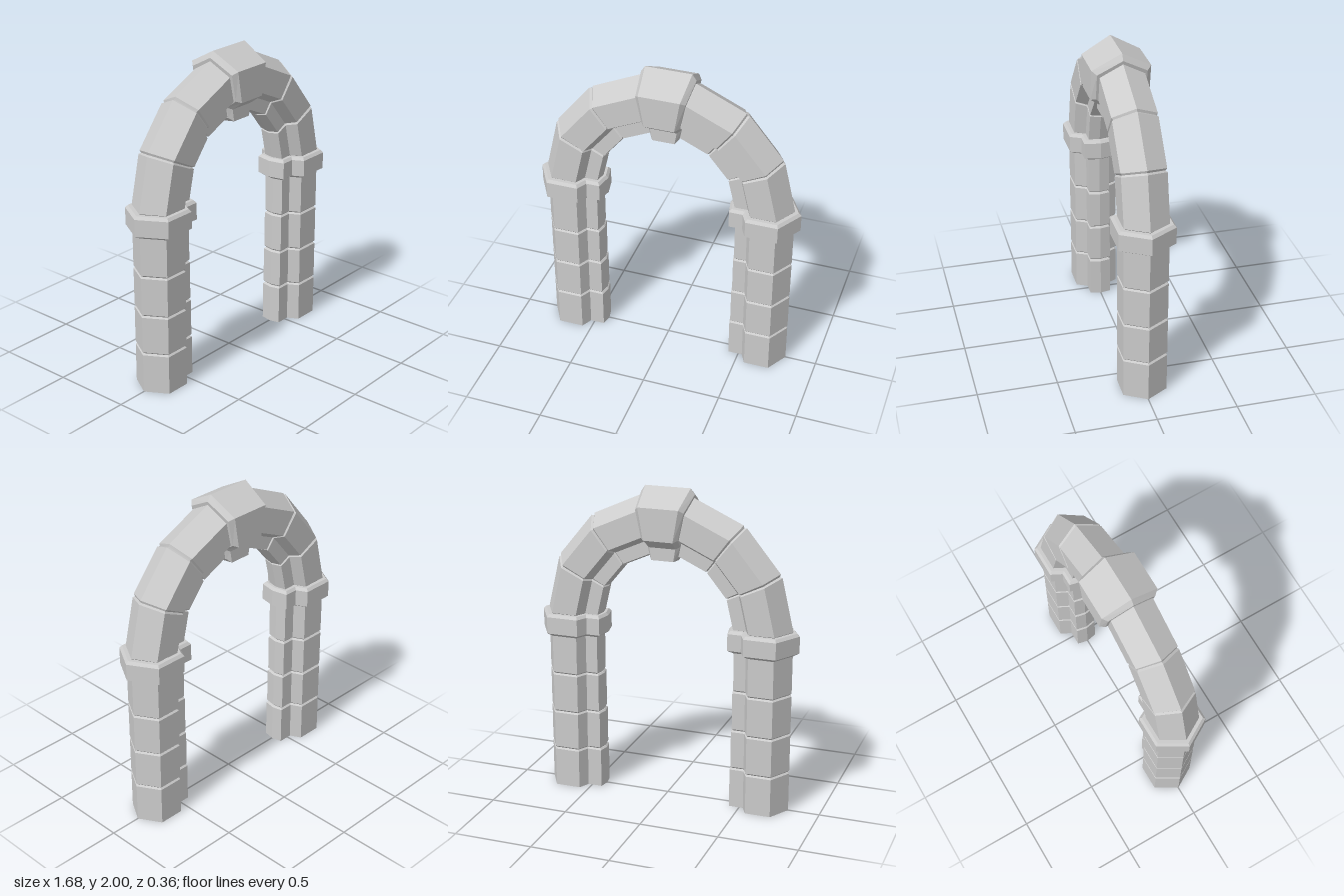
import * as THREE from 'three';

const material = new THREE.MeshStandardMaterial({ color: 0xcccccc, flatShading: true });
const CENTRE_Y = 1.16; // springing height of the arch

// Symmetric stone section: [distance from the arch axis, half depth]
function section(outer, shoulder, stepOuter, stepInner, lip, inner, depth, innerDepth) {
  const half = [[shoulder, depth], [stepOuter, depth], [stepInner, innerDepth], [lip, innerDepth]];
  const back = half.map(([r, z]) => [r, -z]).reverse();
  return [[outer, 0], ...half, [inner, 0], ...back].map(([r, z]) => new THREE.Vector2(r, z));
}

// Grow (d > 0) or shrink (d < 0) a section with mitred corners
function offset(points, d) {
  const n = points.length;
  const normal = (a, b) => new THREE.Vector2(b.y - a.y, a.x - b.x).normalize();
  return points.map((p, i) => {
    const n1 = normal(points[(i + n - 1) % n], p);
    const n2 = normal(p, points[(i + 1) % n]);
    const k = d / (1 + n1.dot(n2));
    return p.clone().addScaledVector(n1.add(n2), k);
  });
}

// Loft a section through stations [position, offset]; place() maps it into space
function stone(name, points, stations, place) {
  const rings = stations.map(([t, d]) => offset(points, d).map((p) => place(p.x, p.y, t)));
  const pos = [];
  const tri = (...corners) => corners.forEach((c) => pos.push(...c));
  const n = points.length;
  for (let s = 0; s < rings.length - 1; s++) {
    for (let i = 0; i < n; i++) {
      const j = (i + 1) % n;
      const a = rings[s][i], b = rings[s][j], c = rings[s + 1][j], d = rings[s + 1][i];
      tri(a, c, b);
      tri(a, d, c);
    }
  }
  const first = rings[0], last = rings[rings.length - 1];
  for (const [a, b, c] of THREE.ShapeUtils.triangulateShape(points, [])) {
    tri(first[a], first[b], first[c]);
    tri(last[a], last[c], last[b]);
  }
  const geometry = new THREE.BufferGeometry();
  geometry.setAttribute('position', new THREE.Float32BufferAttribute(pos, 3));
  geometry.computeVertexNormals();
  const mesh = new THREE.Mesh(geometry, material);
  mesh.name = name;
  return mesh;
}

const upright = (r, z, y) => [r, y, z];
const radial = (r, z, a) => [r * Math.cos(a), CENTRE_Y + r * Math.sin(a), z];
const stoneSection = (inner) => section(0.8, 0.72, 0.56, 0.525, inner + 0.014, inner, 0.137, 0.068);

function createPillar(name) {
  const pillar = new THREE.Group();
  pillar.name = name;
  // Four chamfered blocks, slightly narrower towards the top
  const levels = [0, 0.26, 0.513, 0.77, 1.03];
  for (let i = 0; i < 4; i++) {
    const y0 = levels[i], y1 = levels[i + 1], c = 0.01;
    const stations = [[y0 + c, 0], [y1 - c, 0], [y1, -c]];
    stations.unshift(i === 0 ? [0, 0] : [y0, -c]);
    pillar.add(stone('pillarBlock' + (i + 1), stoneSection(0.42 + i * 0.005), stations, upright));
  }
  // Projecting capital
  pillar.add(stone('capital', stoneSection(0.432),
    [[1.02, 0], [1.043, 0.035], [1.15, 0.035], [1.167, 0.02]], upright));
  return pillar;
}

export function createModel() {
  const group = new THREE.Group();
  group.name = 'stoneArch';

  const left = createPillar('leftPillar');
  const right = createPillar('rightPillar');
  right.rotation.y = Math.PI;
  group.add(left, right);

  // Three wedge stones on each side
  const rad = THREE.MathUtils.degToRad;
  const step = 26.2, bevel = rad(0.9);
  for (const side of ['left', 'right']) {
    for (let i = 0; i < 3; i++) {
      const start = side === 'left' ? i * step : 180 - (i + 1) * step;
      const a0 = rad(start), a1 = rad(start + step);
      group.add(stone(side + 'ArchStone' + (i + 1), stoneSection(0.428),
        [[a0, -0.01], [a0 + bevel, 0], [a1 - bevel, 0], [a1, -0.01]], radial));
    }
  }

  // Larger keystone with a wide chamfer
  const key = section(0.852, 0.752, 0.55, 0.49, 0.41, 0.395, 0.18, 0.1);
  const k0 = rad(78), k1 = rad(102), kb = rad(2.2);
  group.add(stone('keystone', key,
    [[k0, -0.028], [k0 + kb, 0], [k1 - kb, 0], [k1, -0.028]], radial));
  return group;
}
